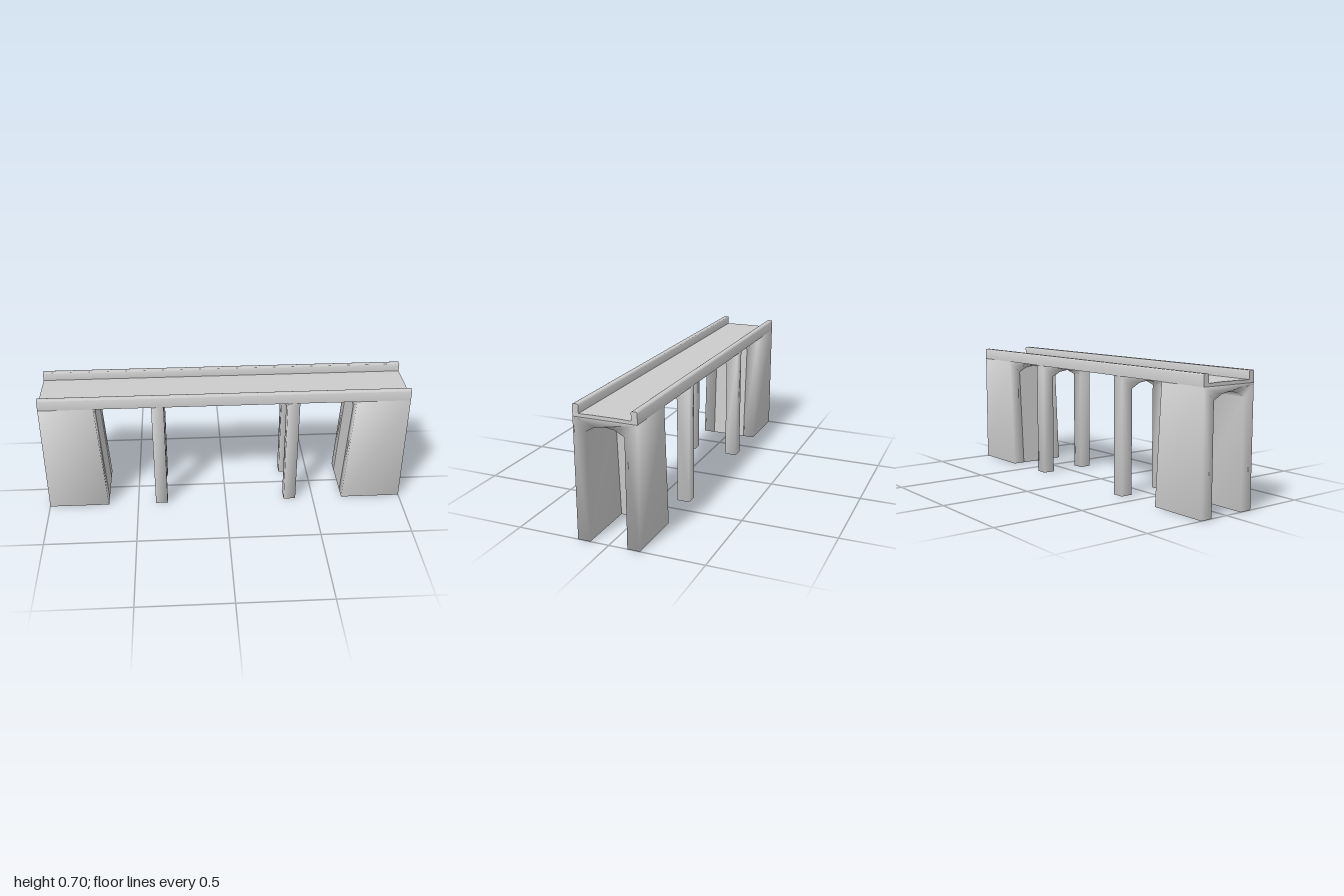
import * as THREE from 'three';
import { mergeVertices, toCreasedNormals } from 'three/addons/utils/BufferGeometryUtils.js';

const HALF = 0.167;   // half width of the bridge
const SOFFIT = 0.635; // underside of the deck
const ARCH = [[-0.1, 0], [-0.1, 0.568], [-0.05, 0.595], [0, 0.602], [0.05, 0.595], [0.1, 0.568], [0.1, 0]];

const outline = (points) => new THREE.Shape(points.map(([x, y]) => new THREE.Vector2(x, y)));

// Extrude a cross-section (z, y) along x, from x0 to x1
function extrudeX(shape, x0, x1) {
  return new THREE.ExtrudeGeometry(shape, { depth: x1 - x0, bevelEnabled: false, curveSegments: 4 })
    .rotateY(Math.PI / 2).translate(x0, 0, 0);
}

// Share vertices so the shading flows softly over the edges
function soften(geometry) {
  geometry.deleteAttribute('uv');
  geometry.deleteAttribute('normal');
  const merged = mergeVertices(geometry, 1e-4);
  merged.computeVertexNormals();
  return merged;
}

export function createModel() {
  const group = new THREE.Group();
  const material = new THREE.MeshStandardMaterial({ color: 0xcccccc });
  const sheet = new THREE.MeshStandardMaterial({ color: 0xcccccc, side: THREE.DoubleSide });
  const add = (parent, name, geometry, mat = material) => {
    const mesh = new THREE.Mesh(geometry, mat);
    mesh.name = name;
    parent.add(mesh);
  };

  // Deck with a slight crown and a rounded kerb on each side
  const kerb = [
    [HALF, SOFFIT], [HALF, 0.691], [0.165, 0.695], [0.161, 0.697],
    [0.141, 0.697], [0.137, 0.695], [0.135, 0.691], [0.135, 0.651], [0.06, 0.653],
  ];
  const deck = outline([...kerb, ...kerb.map(([z, y]) => [-z, y]).reverse()]);
  add(group, 'deck', toCreasedNormals(extrudeX(deck, -1, 1), Math.PI / 4));

  // Two legs joined by a shallow arch, shared by piers and abutments
  const portal = outline([[-HALF, 0], [-HALF, SOFFIT], [HALF, SOFFIT], [HALF, 0], ...[...ARCH].reverse()]);

  // The inner end of an abutment leans outward as it rises
  const lean = (geometry) => {
    const p = geometry.attributes.position;
    for (let i = 0; i < p.count; i++) {
      if (p.getX(i) < 0.8) p.setX(i, 0.667 + 0.04 * p.getY(i) / SOFFIT);
    }
    geometry.computeVertexNormals();
    return geometry;
  };

  for (const side of ['left', 'right']) {
    const end = new THREE.Group();
    end.name = side + 'Supports';
    if (side === 'right') end.rotation.y = Math.PI;
    add(end, 'pier', soften(extrudeX(portal, 0.333, 0.4)));
    add(end, 'abutment', soften(lean(extrudeX(portal, 0.667, 1))));
    // Thin wall closing the arch on the inner side
    const wall = new THREE.ShapeGeometry(outline(ARCH)).rotateY(-Math.PI / 2).translate(0.667, 0, 0);
    add(end, 'abutmentWall', lean(wall), sheet);
    group.add(end);
  }
  return group;
}
